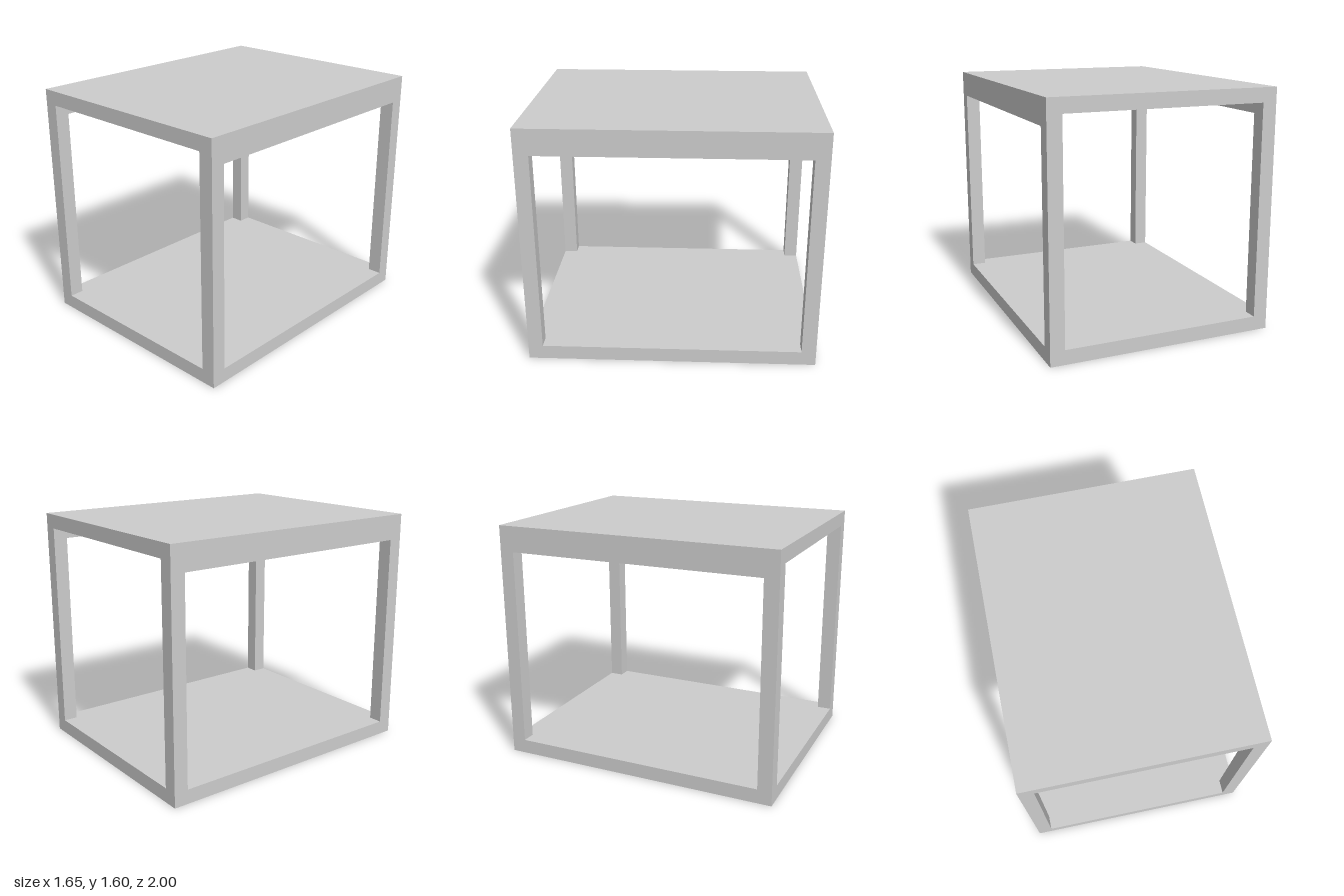
import * as THREE from 'three';

const W = 1.512, D = 1.895, H = 1.595; // overall width, depth, height
const T = 0.095;                       // slab and post thickness
const DROP = 0.075;                    // side beams hang this far below the top slab

export function createModel() {
  const grey = new THREE.MeshStandardMaterial({ color: 0xcccccc });
  grey.name = 'light grey';

  const model = new THREE.Group();
  model.name = 'openFrameTable';

  const box = (name, w, h, d, x, y, z) => {
    const mesh = new THREE.Mesh(new THREE.BoxGeometry(w, h, d), grey);
    mesh.name = name;
    mesh.position.set(x, y, z);
    model.add(mesh);
  };

  // Bottom and top slabs
  box('bottomSlab', W, T, D, 0, T / 2, 0);
  box('topSlab', W, T, D, 0, H - T / 2, 0);

  for (const sx of [-1, 1]) {
    const side = sx > 0 ? 'left' : 'right';
    const x = sx * (W - T) / 2;

    // Corner posts between the slabs
    for (const sz of [-1, 1]) {
      box(side + (sz > 0 ? 'Front' : 'Back') + 'Post', T, H - 2 * T, T, x, H / 2, sz * (D - T) / 2);
    }

    // Beam under the top slab, between the posts
    box(side + 'Beam', T, DROP, D - 2 * T, x, H - T - DROP / 2, 0);
  }

  // The whole piece stands slightly turned
  model.rotation.y = -0.073;
  return model;
}
